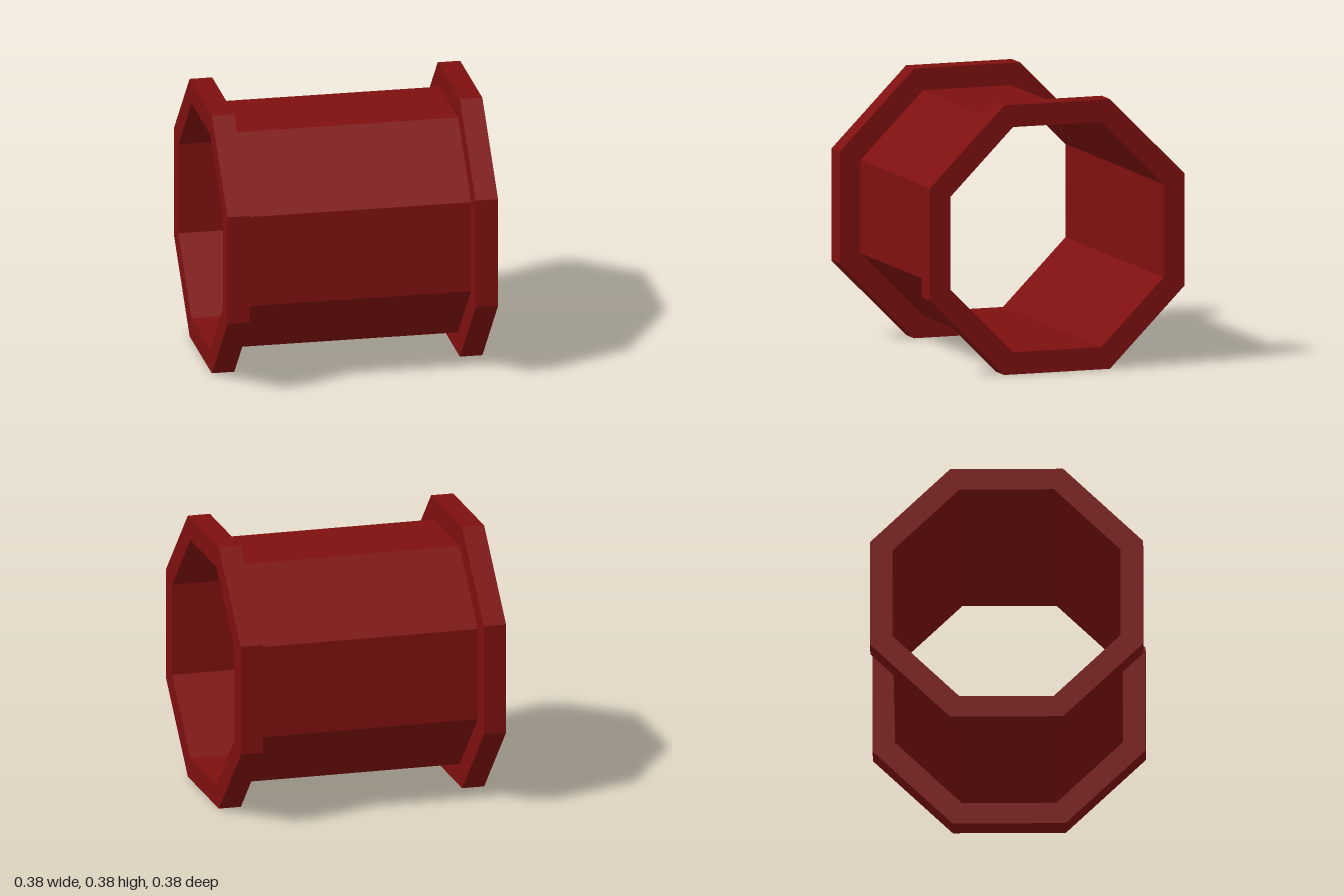
import * as THREE from 'three';

const SIDES = 8;
const START = Math.PI / SIDES; // puts flats at top, bottom, front and back
const LENGTH = 0.385;
const FLANGE = 0.032;
const toCorner = (flat) => flat / Math.cos(Math.PI / SIDES);
const INNER = toCorner(0.159);
const OUTER = toCorner(0.1905);

export function createModel() {
  const model = new THREE.Group();
  model.name = 'octagonalSpool';

  const red = new THREE.MeshStandardMaterial({ color: 0x7f1010, flatShading: true, side: THREE.DoubleSide });

  // Profile is turned around y, then the spool is laid along x
  const spool = new THREE.Group();
  spool.name = 'spool';
  spool.rotation.z = -Math.PI / 2;
  spool.position.set(1 - LENGTH / 2, 0.1905, 0.1415);
  model.add(spool);

  const addTurned = (name, profile, y = 0) => {
    const points = profile.map(([r, h]) => new THREE.Vector2(r, h));
    const mesh = new THREE.Mesh(new THREE.LatheGeometry(points, SIDES, START), red);
    mesh.name = name;
    mesh.position.y = y;
    spool.add(mesh);
  };

  // Thin open barrel running the whole length
  addTurned('barrel', [[INNER, -LENGTH / 2], [INNER, LENGTH / 2]]);

  // Raised rim at each end
  const h = FLANGE / 2;
  const rim = [[INNER, -h], [OUTER, -h], [OUTER, h], [INNER, h]];
  for (const [name, side] of [['rightFlange', -1], ['leftFlange', 1]]) {
    addTurned(name, rim, side * (LENGTH / 2 - h));
  }

  return model;
}
